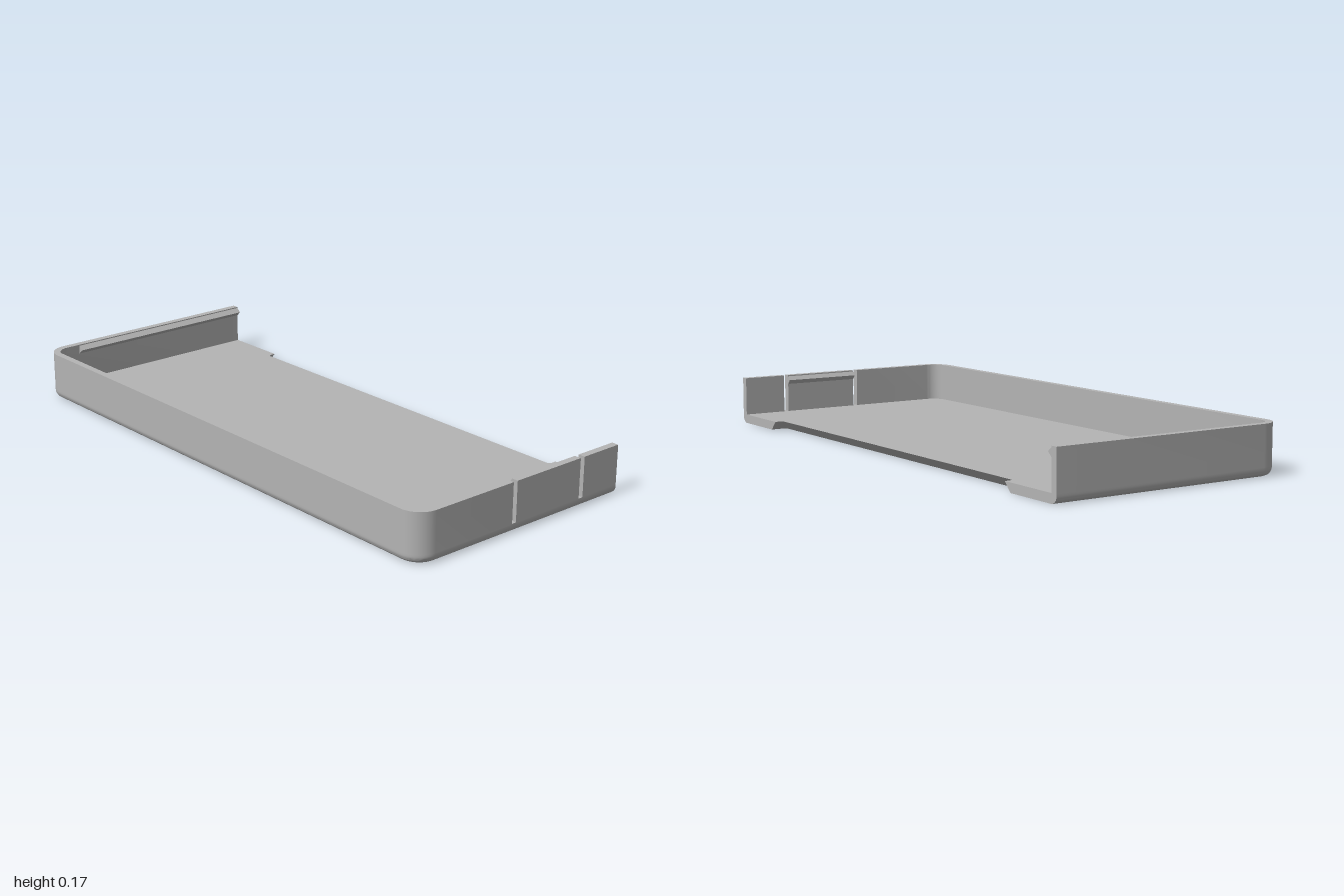
import * as THREE from 'three';
import { toCreasedNormals } from 'three/addons/utils/BufferGeometryUtils.js';

const X = 0.44, Z = 1, H = 0.17, FLOOR = 0.032, WALL = 0.025, CORNER = 0.075, FILLET = 0.025;
const SLOTS = [[-0.041, -0.024], [0.262, 0.28]];

// Three-sided outline [x, z] with two rounded corners, from the front's end round to the back's end
function outline(inset, startX) {
  const r = CORNER - inset, cx = -X + CORNER, cz = Z - CORNER, pts = [[startX, Z - inset]];
  for (const side of [1, -1]) {
    for (let i = 0; i <= 12; i++) {
      const a = (i / 12) * Math.PI / 2, t = side > 0 ? a : Math.PI / 2 - a;
      pts.push([cx - r * Math.sin(t), side * (cz + r * Math.cos(t))]);
    }
  }
  pts.push([X, -(Z - inset)]);
  return pts;
}

// Floor outline at height y: filleted lower edge and an undercut notch on the open side
function floorRing(y) {
  const d = Math.max(0, FILLET - y);
  const inset = FILLET - Math.sqrt(FILLET * FILLET - d * d);
  const k = 1 - y / FLOOR, nx = 0.41 - 0.03 * k, nz = 0.74 + 0.03 * k, r = 0.012;
  const notch = [];
  for (let i = 0; i <= 5; i++) {
    const a = (i / 5) * Math.PI / 2;
    notch.push([nx + r - r * Math.sin(a), nz - r + r * Math.cos(a)]);
  }
  const back = [[X, -nz], ...notch.map(([x, z]) => [x, -z])];
  const front = [...notch.slice().reverse(), [X, nz]];
  return [...outline(inset, X), ...back, ...front];
}

function floorGeometry() {
  const levels = [];
  for (let i = 0; i <= 6; i++) levels.push(FILLET * (1 - Math.cos((i / 6) * Math.PI / 2)));
  levels.push(FLOOR);
  const rings = levels.map(floorRing), n = rings[0].length, pos = [], index = [];
  rings.forEach((ring, j) => ring.forEach(([x, z]) => pos.push(x, levels[j], z)));
  for (let j = 0; j < rings.length - 1; j++) {
    for (let i = 0; i < n; i++) {
      const a = j * n + i, b = j * n + (i + 1) % n;
      index.push(b, a, a + n, b, a + n, b + n);
    }
  }
  // Bottom and top caps
  for (const [j, up] of [[0, false], [rings.length - 1, true]]) {
    const p = rings[j].map(([x, z]) => new THREE.Vector2(x, z));
    for (const [a, b, c] of THREE.ShapeUtils.triangulateShape(p, [])) {
      const cross = (p[b].x - p[a].x) * (p[c].y - p[a].y) - (p[b].y - p[a].y) * (p[c].x - p[a].x);
      const o = j * n;
      if ((cross < 0) === up) index.push(o + a, o + b, o + c);
      else index.push(o + a, o + c, o + b);
    }
  }
  const g = new THREE.BufferGeometry();
  g.setAttribute('position', new THREE.Float32BufferAttribute(pos, 3));
  g.setIndex(index);
  return toCreasedNormals(g, 0.5);
}

// Upright wall from a closed plan of [x, z] points
function wallGeometry(plan) {
  const shape = new THREE.Shape(plan.map(([x, z]) => new THREE.Vector2(x, -z)));
  const g = new THREE.ExtrudeGeometry(shape, { depth: H - FLOOR, bevelEnabled: false });
  g.rotateX(-Math.PI / 2).translate(0, FLOOR, 0);
  return toCreasedNormals(g, 0.5);
}

// Triangular snap ridge on the inside of the front (side 1) or back (side -1) wall
function ridgeGeometry(x0, x1, side, depth) {
  const z = -side * (Z - WALL), s = side;
  const shape = new THREE.Shape([
    new THREE.Vector2(z - s * 0.002, 0.134),
    new THREE.Vector2(z + s * depth, 0.152),
    new THREE.Vector2(z - s * 0.002, 0.168),
  ]);
  const g = new THREE.ExtrudeGeometry(shape, { depth: x1 - x0, bevelEnabled: false });
  return g.rotateY(Math.PI / 2).translate(x0, 0, 0);
}

export function createModel() {
  const group = new THREE.Group();
  const grey = new THREE.MeshStandardMaterial({ color: 0xb4b4b4 });
  grey.name = 'plain grey';
  const add = (name, geometry) => {
    const mesh = new THREE.Mesh(geometry, grey);
    mesh.name = name;
    group.add(mesh);
  };

  add('floor', floorGeometry());

  // Main wall wraps from the first slot, round the closed end, along the back
  const start = SLOTS[0][0];
  add('wall', wallGeometry([...outline(0, start), ...outline(WALL, start).reverse()]));

  // Rest of the front wall, parted by the two slots
  const piece = (x0, x1) => wallGeometry([[x0, Z], [x1, Z], [x1, Z - WALL], [x0, Z - WALL]]);
  add('clipTab', piece(SLOTS[0][1], SLOTS[1][0]));
  add('frontWallEnd', piece(SLOTS[1][1], X));

  add('clipRidge', ridgeGeometry(SLOTS[0][1], SLOTS[1][0], 1, 0.013));
  add('backRidge', ridgeGeometry(-0.31, X, -1, 0.017));
  return group;
}
